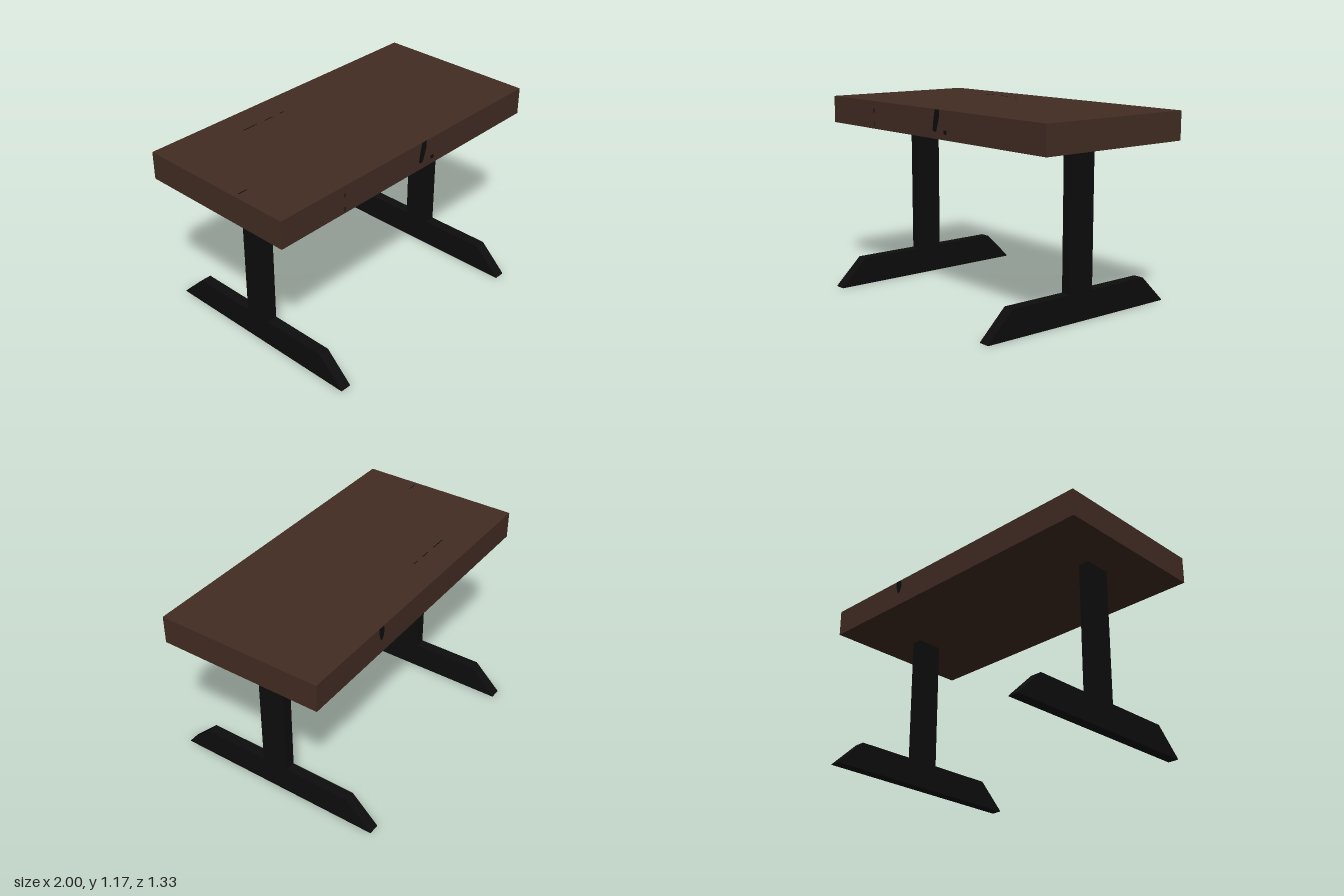
import * as THREE from 'three';

export function createModel() {
  const model = new THREE.Group();
  const walnut = new THREE.MeshStandardMaterial({ name: 'dark walnut', color: 0x432d23 });
  const black = new THREE.MeshStandardMaterial({ name: 'black metal', color: 0x0d0d0d });

  const add = (name, geometry, material, x = 0, y = 0, z = 0) => {
    const mesh = new THREE.Mesh(geometry, material);
    mesh.name = name;
    mesh.position.set(x, y, z);
    model.add(mesh);
    return mesh;
  };
  const box = (name, material, w, h, d, x, y, z) =>
    add(name, new THREE.BoxGeometry(w, h, d), material, x, y, z);

  // Thick slab top
  const bottom = 1, top = 1.167, depth = 1;
  box('tableTop', walnut, 2, top - bottom, depth, 0, (top + bottom) / 2, 0);

  // Flat posts on long feet with sloping ends
  const thick = 0.067;
  const footShape = new THREE.Shape([[-0.667, 0], [0.667, 0], [0.667, 0.005], [0.5, 0.167], [-0.5, 0.167], [-0.667, 0.005]]
    .map(([z, y]) => new THREE.Vector2(z, y)));
  const footGeometry = new THREE.ExtrudeGeometry(footShape, { depth: thick, bevelEnabled: false })
    .translate(0, 0, -thick / 2).rotateY(Math.PI / 2);
  for (const [side, x] of [['left', 0.716], ['right', -0.716]]) {
    box(side + 'Post', black, thick, bottom - 0.167, 0.167, x, (bottom + 0.167) / 2, 0);
    add(side + 'Foot', footGeometry, black, x);
  }

  // Dark knots in the long edges of the slab
  const plate = (name, points) => {
    const shape = new THREE.Shape(points.map(([x, y]) => new THREE.Vector2(x, y)));
    return add(name, new THREE.ExtrudeGeometry(shape, { depth: 0.002, bevelEnabled: false }), black);
  };
  const face = depth / 2 - 0.0005;
  plate('frontKnot', [[0.055, 1.05], [0.07, 1.038], [0.088, 1.045], [0.1, 1.08], [0.113, 1.12],
    [0.115, 1.166], [0.077, 1.166], [0.064, 1.11]]).position.z = face;
  plate('backKnot', [[0.405, 1.095], [0.42, 1.08], [0.432, 1.1], [0.442, 1.14], [0.44, 1.166],
    [0.4, 1.166], [0.395, 1.13]]).position.z = -face - 0.002;
  box('smallKnot', black, 0.024, 0.022, 0.002, 0.17, 1.043, 0.5);
  for (const y of [1.025, 1.11]) box('edgeCrack', black, 0.006, 0.026, 0.002, -0.543, y, 0.5);

  // Hairline cracks along the grain on the upper face
  for (const [x, z, length] of [[-0.45, -0.322, 0.1], [-0.305, -0.322, 0.06], [-0.202, -0.322, 0.035], [-0.94, 0.16, 0.06]]) {
    box('topCrack', black, length, 0.002, 0.005, x, top, z);
  }
  return model;
}
